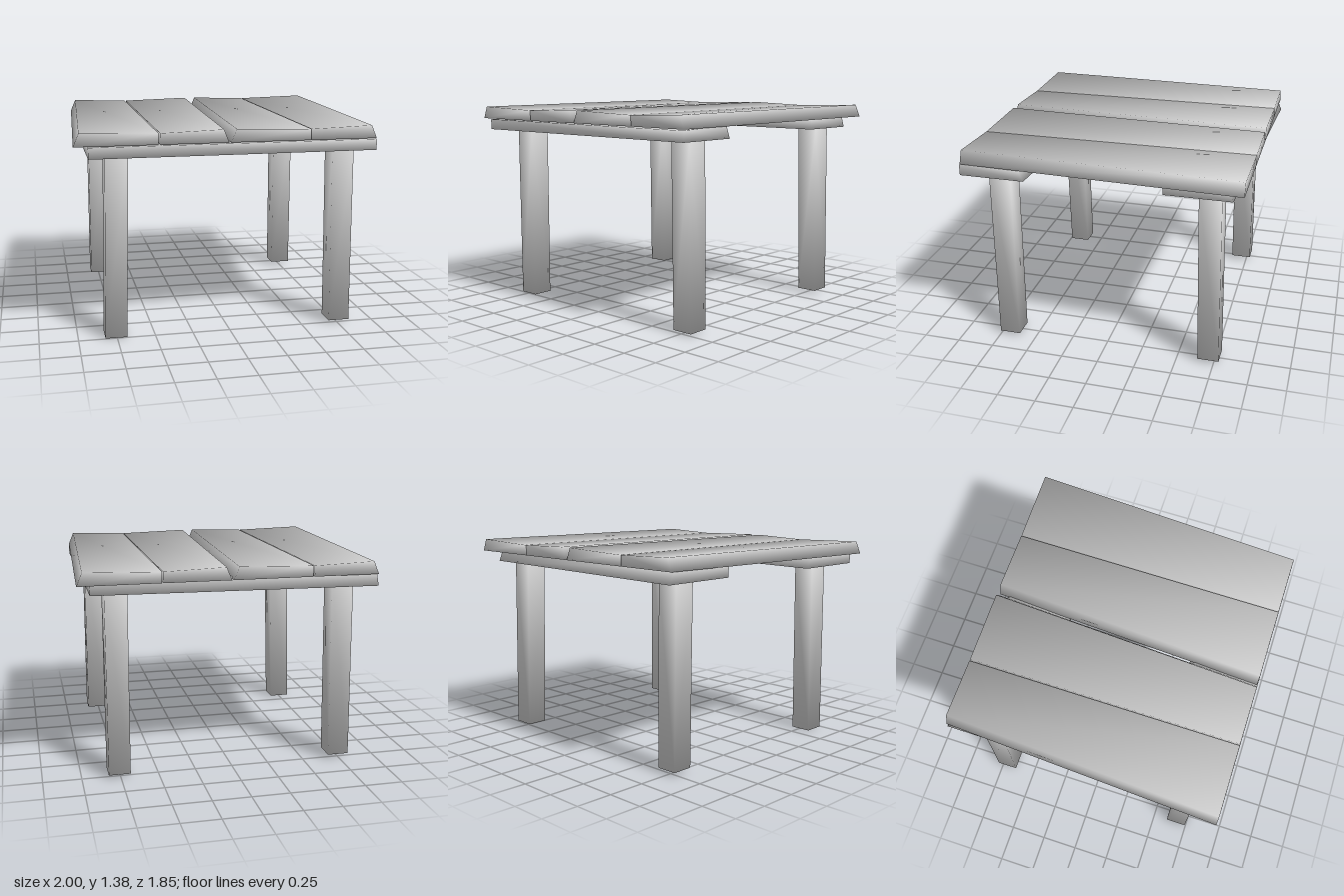
import * as THREE from 'three';

const material = new THREE.MeshStandardMaterial({ color: 0xcccccc });

// Six-sided block whose eight corners come from corner(sx, sy, sz);
// rounded shading comes from normals that point out along the corners.
function blockGeometry(corner) {
  const positions = [], normals = [];
  const k = 1 / Math.sqrt(3);
  for (let i = 0; i < 8; i++) {
    const s = [i & 1 ? 1 : -1, i & 2 ? 1 : -1, i & 4 ? 1 : -1];
    positions.push(...corner(...s));
    normals.push(...s.map(v => v * k));
  }
  const quads = [[2, 6, 7, 3], [0, 1, 5, 4], [4, 5, 7, 6], [0, 2, 3, 1], [1, 3, 7, 5], [0, 4, 6, 2]];
  const geometry = new THREE.BufferGeometry();
  geometry.setAttribute('position', new THREE.Float32BufferAttribute(positions, 3));
  geometry.setAttribute('normal', new THREE.Float32BufferAttribute(normals, 3));
  geometry.setIndex(quads.flatMap(([a, b, c, d]) => [a, b, c, a, c, d]));
  return geometry;
}

// Rough-cut board: straight edge on x = 0, bevelled tapering edge toward -x, wide end at +z
const boardGeometry = blockGeometry((sx, sy, sz) => {
  const top = sy > 0, wide = sz > 0;
  const width = (wide ? 0.515 : 0.43) - (top ? 0.035 : 0);
  return [
    sx < 0 ? -width : 0,
    top ? (sx < 0 ? 0.083 : 0.07) : 0,
    0.915 * sz,
  ];
});

function addMesh(group, name, geometry) {
  const mesh = new THREE.Mesh(geometry, material);
  mesh.name = name;
  group.add(mesh);
  return mesh;
}

export function createModel() {
  const table = new THREE.Group();
  table.name = 'table';

  // Table top: four boards, alternately turned end for end, tipped up slightly at the back
  [[-0.488, 0], [-0.478, Math.PI], [0.478, 0], [0.485, Math.PI]].forEach(([x, turn], i) => {
    const plank = addMesh(table, 'topPlank' + (i + 1), boardGeometry);
    plank.position.set(x, 1.291, 0);
    plank.rotation.set(0.006, turn, 0);
  });

  // Cross beams: the same board laid sideways under the top
  [['frontBeam', 1.21, 0.92], ['backBeam', 1.222, -0.41]].forEach(([name, y, z]) => {
    const beam = addMesh(table, name, boardGeometry);
    beam.position.set(0, y, z);
    beam.rotation.y = -Math.PI / 2;
  });

  // Legs: square posts, each leaning a little; [name, top x, top z, foot x, foot z, foot y, top y]
  const legs = [
    ['frontRightLeg', -0.73, 0.69, -0.755, 0.672, 0, 1.213],
    ['frontLeftLeg', 0.75, 0.688, 0.762, 0.685, 0.015, 1.213],
    ['backRightLeg', -0.735, -0.69, -0.743, -0.71, 0.028, 1.225],
    ['backLeftLeg', 0.75, -0.688, 0.757, -0.713, 0.022, 1.225],
  ];
  for (const [name, tx, tz, fx, fz, footY, topY] of legs) {
    addMesh(table, name, blockGeometry((sx, sy, sz) => sy > 0
      ? [tx + 0.073 * sx, topY, tz + 0.073 * sz]
      : [fx + 0.071 * sx, footY, fz + 0.071 * sz]));
  }
  return table;
}
